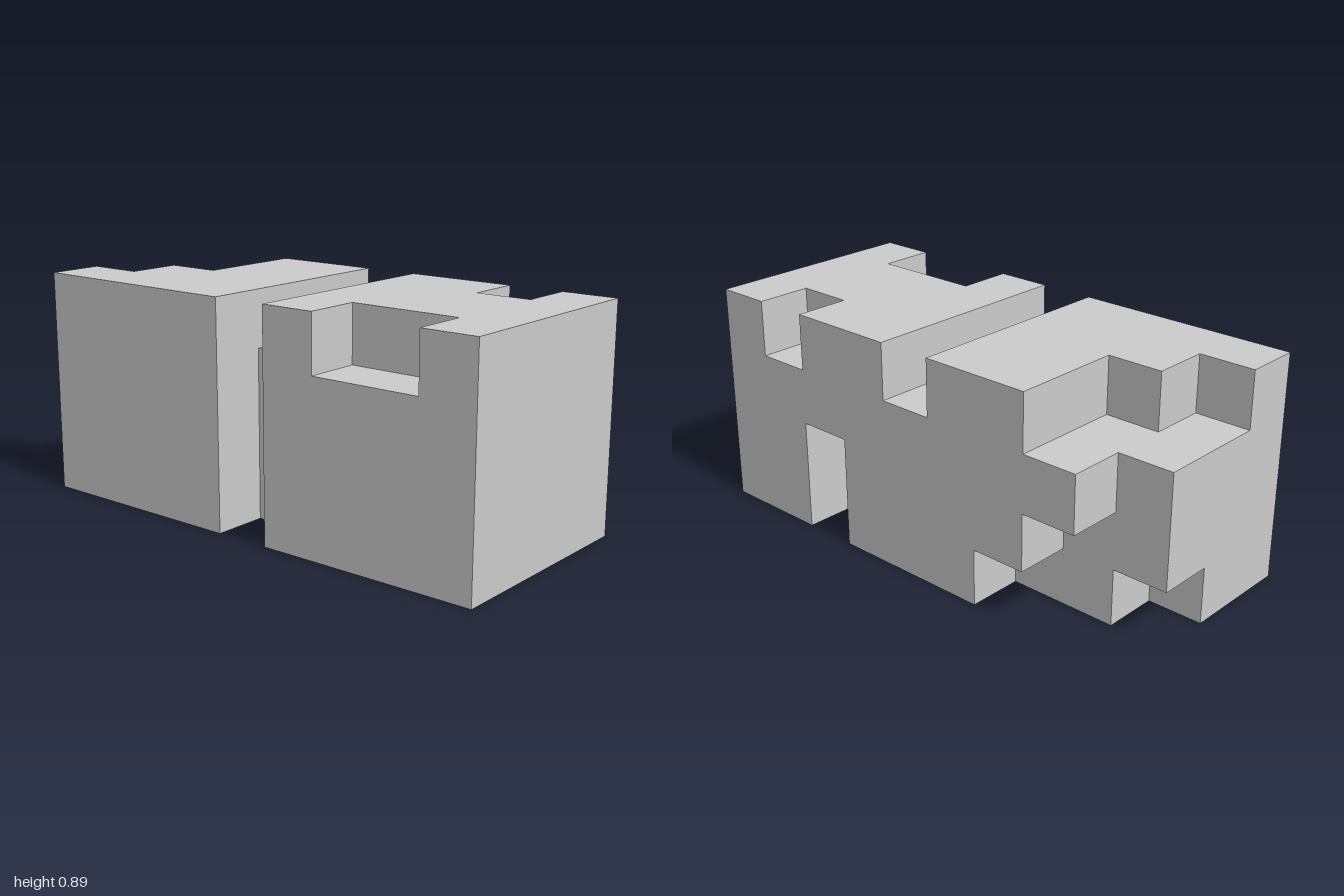
import * as THREE from 'three';
import { mergeGeometries, mergeVertices } from 'three/addons/utils/BufferGeometryUtils.js';

// Solid block of 4 x 4 x 9 cubes with box-shaped cuts
const SIZE = [4, 4, 9];
const UNIT = 2 / 9;

// Each cut: [x range], [y range], [z range] in cubes; z = 0 is the back
const CUTS = [
  [[0, 4], [3, 4], [4, 5]], // groove across the top
  [[0, 1], [0, 4], [4, 5]], // upright slot, -x side
  [[0, 1], [3, 4], [6, 8]], // top notch, -x side
  [[3, 4], [3, 4], [7, 8]], // top notch, +x side
  [[3, 4], [0, 2], [6, 7]], // lower slot, +x side
  [[2, 4], [0, 1], [6, 7]], // deeper foot of that slot
  [[3, 4], [0, 4], [0, 1]], // back corner column
  [[1, 4], [3, 4], [0, 1]], // top back steps
  [[2, 4], [3, 4], [1, 2]],
  [[3, 4], [0, 2], [1, 2]], // bottom back steps
  [[3, 4], [0, 1], [2, 3]],
  [[2, 3], [0, 1], [0, 1]],
];

function filled(cell) {
  if (cell.some((c, i) => c < 0 || c >= SIZE[i])) return false;
  return !CUTS.some((cut) => cut.every(([a, b], i) => cell[i] >= a && cell[i] < b));
}

// One square of skin on the side of a cube facing dir
function skin(cell, dir) {
  const normal = new THREE.Vector3(...dir);
  const turn = new THREE.Quaternion().setFromUnitVectors(new THREE.Vector3(0, 0, 1), normal);
  if (dir[2] === -1) turn.setFromAxisAngle(new THREE.Vector3(0, 1, 0), Math.PI);
  const [x, y, z] = cell.map((c, i) => (c + 0.5 - (i === 1 ? 0 : SIZE[i] / 2) + dir[i] / 2) * UNIT);
  return new THREE.PlaneGeometry(UNIT, UNIT).applyQuaternion(turn).translate(x, y, z);
}

export function createModel() {
  const dirs = [[1, 0, 0], [-1, 0, 0], [0, 1, 0], [0, -1, 0], [0, 0, 1], [0, 0, -1]];
  const faces = [];

  // Skin only where a filled cube meets open space
  for (let x = 0; x < SIZE[0]; x++)
    for (let y = 0; y < SIZE[1]; y++)
      for (let z = 0; z < SIZE[2]; z++) {
        const cell = [x, y, z];
        if (!filled(cell)) continue;
        for (const dir of dirs)
          if (!filled(cell.map((c, i) => c + dir[i]))) faces.push(skin(cell, dir));
      }

  const geometry = mergeGeometries(faces);
  geometry.deleteAttribute('uv');
  const material = new THREE.MeshStandardMaterial({ color: 0xcccccc, flatShading: true });
  const block = new THREE.Mesh(mergeVertices(geometry, 1e-4), material);
  block.name = 'notchedBlock';

  const model = new THREE.Group();
  model.name = 'puzzleBlock';
  model.add(block);
  return model;
}
